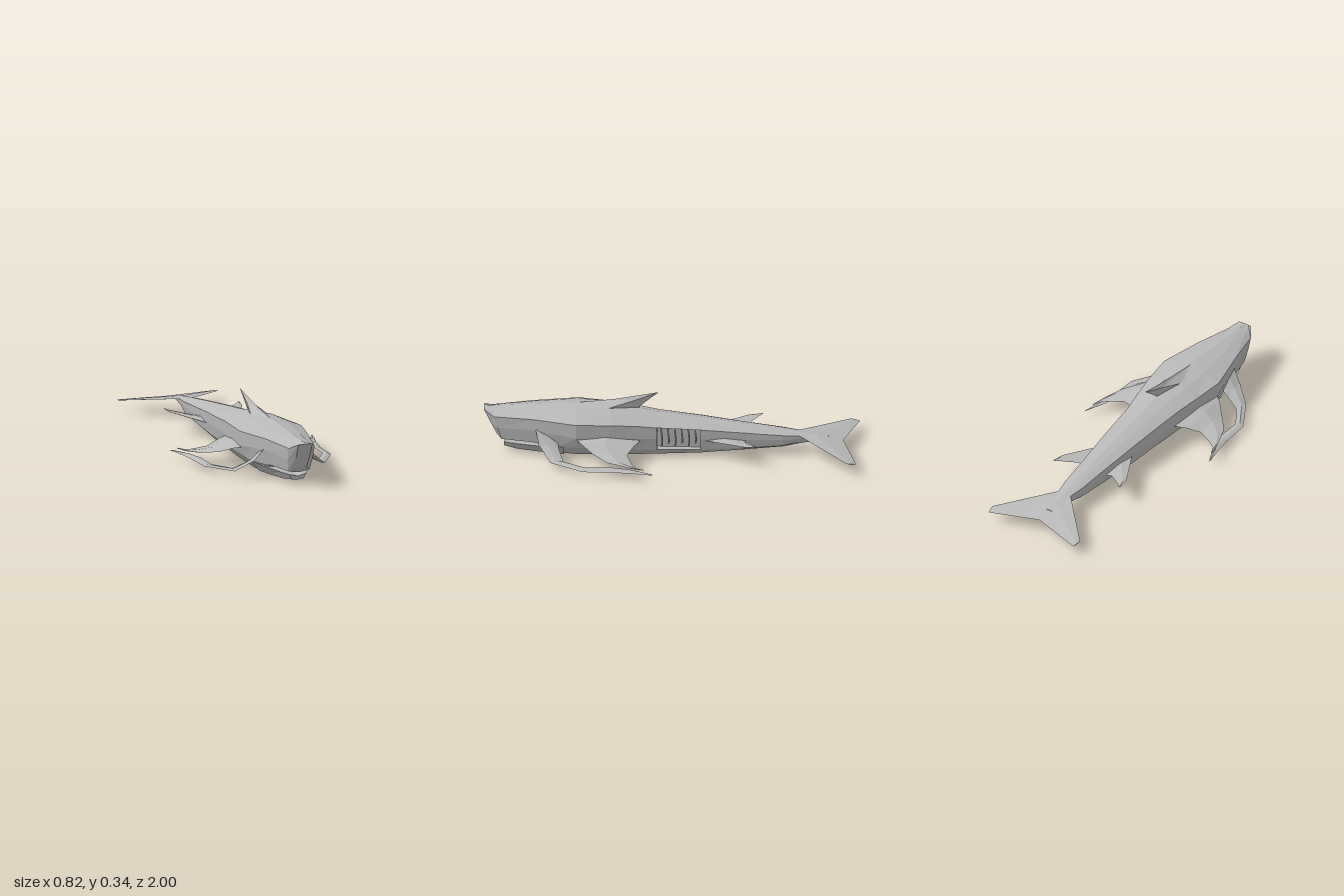
import * as THREE from 'three';

const skin = new THREE.MeshStandardMaterial({ color: 0xb8b8b8, flatShading: true, side: THREE.DoubleSide });
skin.name = 'grey skin';

// Faceted skin over a list of equal-length closed rings; skip(i, k) leaves a panel open
function loft(name, rings, { skip = () => false, startCap = true, endCap = true } = {}) {
  const n = rings[0].length, pos = [];
  const tri = (a, b, c) => pos.push(...a, ...b, ...c);
  for (let i = 0; i < rings.length - 1; i++) {
    for (let k = 0; k < n; k++) {
      if (skip(i, k)) continue;
      const j = (k + 1) % n, r = rings[i], s = rings[i + 1];
      tri(r[k], r[j], s[k]);
      tri(r[j], s[j], s[k]);
    }
  }
  const first = rings[0], last = rings[rings.length - 1];
  for (let k = 1; k < n - 1; k++) {
    if (startCap) tri(first[0], first[k + 1], first[k]);
    if (endCap) tri(last[0], last[k], last[k + 1]);
  }
  const g = new THREE.BufferGeometry();
  g.setAttribute('position', new THREE.Float32BufferAttribute(pos, 3));
  g.computeVertexNormals();
  const mesh = new THREE.Mesh(g, skin);
  mesh.name = name;
  return mesh;
}

// Mirrors a half outline (top centre to bottom centre) into a closed ring
const closeRing = half => [...half, ...half.slice(1, -1).reverse().map(([x, y, z]) => [-x, y, z])];

// Fin on both sides from stations [trailing point, leading point, thickness]
function finPair(name, stations) {
  const pair = new THREE.Group();
  pair.name = name + 's';
  const rings = stations.map(([t, l, h]) => {
    const m = t.map((v, i) => v * 0.45 + l[i] * 0.55);
    return [t, [m[0], m[1] + h / 2, m[2]], l, [m[0], m[1] - h / 2, m[2]]];
  });
  const flipped = rings.map(r => r.map(([x, y, z]) => [-x, y, z]).reverse());
  pair.add(loft(name + 'Left', rings), loft(name + 'Right', flipped));
  return pair;
}

export function createModel() {
  const whale = new THREE.Group();
  whale.name = 'whale';

  // Body stations: z top, z bottom, half width, then heights of top, ridge, flank, lower flank, belly
  const bodyRings = [
    [1.0, 0.93, 0.04, 0.246, 0.243, 0.17, 0.1, 0.098],
    [0.955, 0.9, 0.075, 0.25, 0.215, 0.15, 0.08, 0.068],
    [0.74, 0.74, 0.122, 0.262, 0.225, 0.16, 0.082, 0.07],
    [0.6, 0.6, 0.155, 0.27, 0.222, 0.15, 0.07, 0.01],
    [0.5, 0.5, 0.178, 0.275, 0.22, 0.14, 0.075, 0.006],
    [0.32, 0.32, 0.158, 0.272, 0.212, 0.13, 0.065, 0.004],
    [0.18, 0.18, 0.135, 0.25, 0.2, 0.125, 0.055, 0.002],
    [0.07, 0.07, 0.118, 0.23, 0.185, 0.12, 0.05, 0.002],
    [-0.16, -0.16, 0.097, 0.2, 0.167, 0.11, 0.045, 0.008],
    [-0.4, -0.4, 0.073, 0.167, 0.142, 0.1, 0.05, 0.025],
    [-0.6, -0.6, 0.056, 0.138, 0.122, 0.095, 0.06, 0.042],
    [-0.7, -0.7, 0.038, 0.122, 0.113, 0.1, 0.08, 0.06],
    [-0.84, -0.84, 0.02, 0.1, 0.097, 0.093, 0.088, 0.082],
  ].map(([zt, zb, w, yt, ye, ym, yl, yb]) => closeRing([
    [0, yt], [w * 0.5, yt - (yt - ye) * 0.35], [w, ye], [w * 0.97, ym],
    [w * 0.83, yl], [w * 0.52, yb + 0.006], [0, yb],
  ].map(([x, y]) => [x, y, zb + (zt - zb) * (y - yb) / (yt - yb)])));

  // The left flank is open between two stations
  const open = 7;
  whale.add(loft('body', bodyRings, { skip: (i, k) => i === open && (k === 2 || k === 3) }));

  // Hollow behind the opening, with bare ribs across it
  const a = bodyRings[open], b = bodyRings[open + 1];
  const rim = [a[2], b[2], b[3], b[4], a[4], a[3]];
  const floor = rim.map(([x, y, z]) => [x * 0.6, y, z]);
  whale.add(loft('flankCavity', [rim, floor], { startCap: false }));
  const ribs = new THREE.Group();
  ribs.name = 'ribs';
  for (let i = 0; i < 6; i++) {
    const z = 0.05 - i * 0.036, s = 1 - i * 0.035;
    const curve = new THREE.CatmullRomCurve3([
      new THREE.Vector3(0.09 * s, 0.175 - i * 0.002, z),
      new THREE.Vector3(0.122 * s, 0.155, z - 0.004),
      new THREE.Vector3(0.124 * s, 0.11, z - 0.008),
      new THREE.Vector3(0.1 * s, 0.07 + (i % 2) * 0.015, z - 0.004),
    ]);
    const rib = new THREE.Mesh(new THREE.TubeGeometry(curve, 6, 0.0045, 4), skin);
    rib.name = 'rib';
    ribs.add(rib);
  }
  whale.add(ribs);

  // Lower jaw: z, half width, top, bottom
  whale.add(loft('lowerJaw', [
    [0.89, 0.05, 0.045, 0.025],
    [0.82, 0.082, 0.05, 0.016],
    [0.7, 0.118, 0.055, 0.012],
    [0.57, 0.145, 0.06, 0.008],
  ].map(([z, w, t, l]) => closeRing([
    [0, t, z], [w, t + 0.012, z], [w * 0.65, l + 0.004, z], [0, l, z],
  ]))));

  // Dorsal fin, swept back to a point
  whale.add(loft('dorsalFin', [
    closeRing([[0, 0.268, 0.55], [0.045, 0.262, 0.33], [0, 0.244, 0.18]]),
    closeRing([[0, 0.297, 0.3], [0.016, 0.292, 0.21], [0, 0.285, 0.135]]),
    closeRing([[0, 0.34, 0.072], [0.001, 0.34, 0.07], [0, 0.339, 0.068]]),
  ]));

  // Narrow curved front flippers
  whale.add(finPair('frontFlipper', [
    [[0.125, 0.1, 0.6], [0.118, 0.175, 0.72], 0.02],
    [[0.175, 0.07, 0.59], [0.175, 0.1, 0.7], 0.018],
    [[0.245, 0.037, 0.565], [0.26, 0.036, 0.635], 0.014],
    [[0.32, 0.04, 0.45], [0.365, 0.034, 0.46], 0.012],
    [[0.322, 0.044, 0.31], [0.37, 0.035, 0.3], 0.012],
    [[0.352, 0.046, 0.2], [0.386, 0.04, 0.2], 0.01],
    [[0.4, 0.044, 0.09], [0.408, 0.04, 0.083], 0.004],
  ]));

  // Broad side fins
  whale.add(finPair('sideFin', [
    [[0.11, 0.115, 0.15], [0.165, 0.13, 0.5], 0.05],
    [[0.18, 0.105, 0.19], [0.2, 0.122, 0.475], 0.035],
    [[0.25, 0.085, 0.225], [0.26, 0.092, 0.41], 0.024],
    [[0.33, 0.068, 0.197], [0.33, 0.075, 0.33], 0.016],
    [[0.365, 0.063, 0.175], [0.37, 0.066, 0.22], 0.01],
    [[0.385, 0.062, 0.13], [0.39, 0.062, 0.135], 0.004],
  ]));

  // Small rear fins
  whale.add(finPair('rearFin', [
    [[0.06, 0.095, -0.4], [0.08, 0.1, -0.17], 0.03],
    [[0.11, 0.105, -0.4], [0.13, 0.108, -0.26], 0.02],
    [[0.195, 0.12, -0.465], [0.205, 0.12, -0.405], 0.01],
    [[0.212, 0.125, -0.485], [0.217, 0.125, -0.478], 0.004],
  ]));

  // Tail flukes
  whale.add(finPair('tailFluke', [
    [[0, 0.077, -0.92], [0, 0.12, -0.67], 0.02],
    [[0.04, 0.075, -0.932], [0.038, 0.115, -0.685], 0.016],
    [[0.275, 0.062, -1.0], [0.285, 0.07, -0.95], 0.006],
  ]));

  return whale;
}
